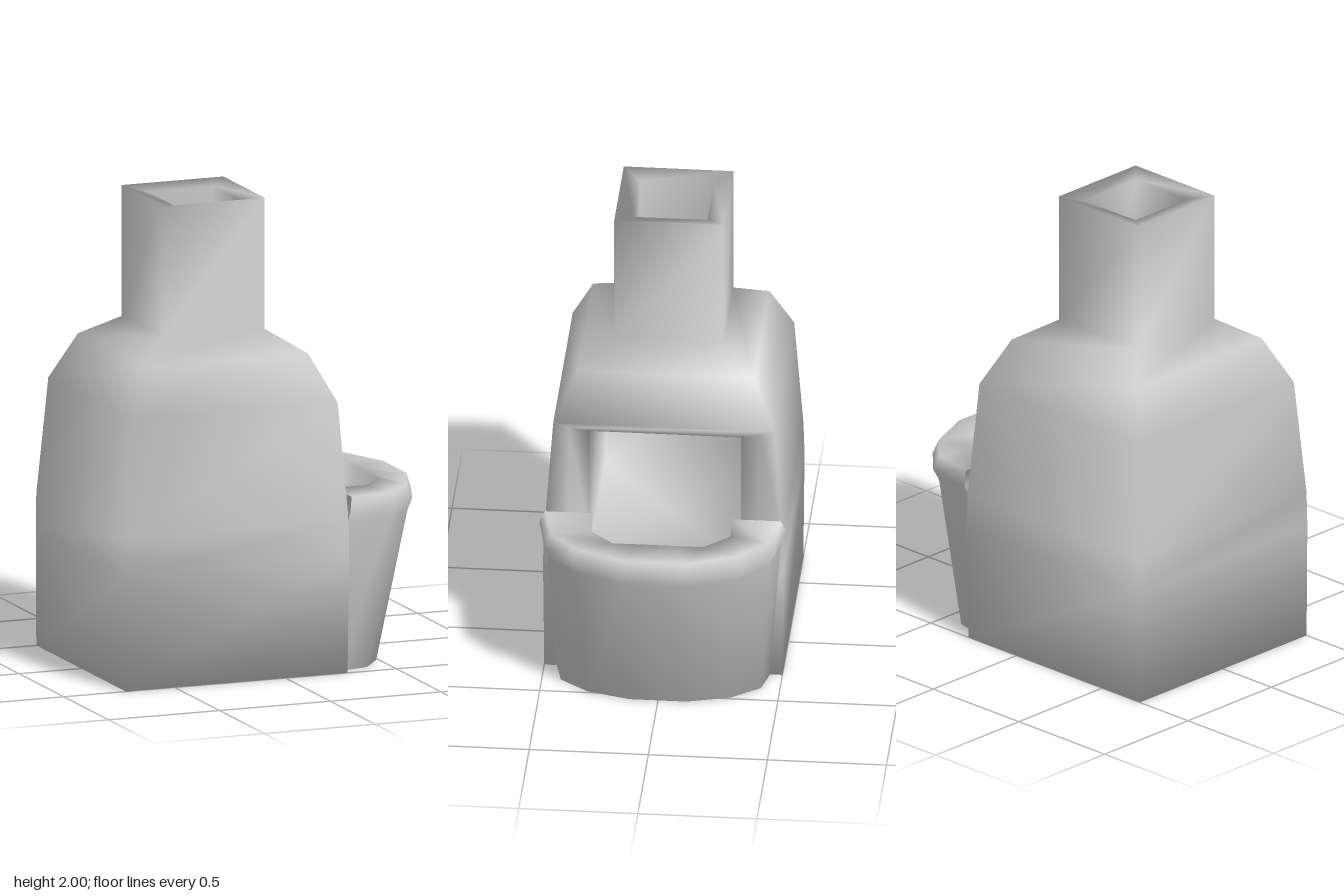
import * as THREE from 'three';
import { mergeGeometries, mergeVertices } from 'three/addons/utils/BufferGeometryUtils.js';

const material = new THREE.MeshStandardMaterial({ color: 0xcccccc, side: THREE.DoubleSide });

// Skin a grid of points: rows[i][j] = [x, y, z]
function skin(rows, closed = false, skip = () => false) {
  const n = rows[0].length, index = [];
  for (let i = 0; i < rows.length - 1; i++) {
    for (let j = 0; j < (closed ? n : n - 1); j++) {
      if (skip(i, j)) continue;
      const k = (j + 1) % n;
      const a = i * n + j, b = i * n + k, c = b + n, d = a + n;
      index.push(a, b, c, a, c, d);
    }
  }
  const g = new THREE.BufferGeometry();
  g.setAttribute('position', new THREE.Float32BufferAttribute(rows.flat(2), 3));
  g.setIndex(index);
  return g;
}

// Weld the pieces and give them smooth normals
function smoothMesh(name, parts) {
  const g = mergeVertices(mergeGeometries(parts), 1e-4);
  g.computeVertexNormals();
  const mesh = new THREE.Mesh(g, material);
  mesh.name = name;
  return mesh;
}

// Four corners of a rectangular section; side 0 faces +x
const section = ([y, x0, x1, z]) => [[x1, y, z], [x1, y, -z], [x0, y, -z], [x0, y, z]];

function ovenBody() {
  // Outside from the base up to the chimney lip, then the inside down to the chamber floor
  const rings = [
    [0, -0.215, -0.215, 0],
    [0, -0.72, 0.28, 0.5],
    [0.5, -0.72, 0.285, 0.505],
    [0.65, -0.72, 0.285, 0.5],
    [1.15, -0.68, 0.25, 0.465],
    [1.35, -0.585, 0.155, 0.37],
    [1.44, -0.445, 0.015, 0.23],
    [2, -0.445, 0.015, 0.23],
    [1.98, -0.36, -0.06, 0.155],
    [1.1, -0.36, -0.06, 0.155],
    [1.1, -0.58, 0.22, 0.32],
    [0.5, -0.58, 0.22, 0.32],
    [0.5, -0.18, -0.18, 0],
  ];
  const openBands = [2, 3, 10];
  const shell = skin(rings.map(section), true, (i, j) => j === 0 && openBands.includes(i));

  // Bevelled frame around the mouth, listed up one jamb and mirrored down the other
  const jambs = [
    [[0.285, 0.5, 0.505], [0.285, 0.65, 0.5], [0.25, 1.15, 0.465]],
    [[0.285, 0.5, 0.4], [0.285, 0.65, 0.4], [0.25, 1.13, 0.4]],
    [[0.22, 0.5, 0.32], [0.22, 0.65, 0.32], [0.22, 1.1, 0.32]],
  ];
  const frame = skin(jambs.map(p => [
    ...p.map(([x, y, z]) => [x, y, -z]),
    ...[...p].reverse(),
  ]));
  return smoothMesh('ovenBody', [shell, frame]);
}

function basin() {
  // Each level is half a plan [x, z], mirrored across z
  const level = (y, half) => [
    ...half.map(([x, z]) => [x, y, z]),
    ...[...half].reverse().map(([x, z]) => [x, y, -z]),
  ];
  const point = (x, y) => level(y, Array(4).fill([x, 0]));
  const rows = [
    point(0.25, 0),
    level(0, [[0.27, 0.45], [0.4, 0.42], [0.49, 0.3], [0.54, 0.12]]),
    level(0.64, [[0.28, 0.495], [0.49, 0.46], [0.615, 0.34], [0.695, 0.13]]),
    level(0.69, [[0.285, 0.52], [0.505, 0.48], [0.63, 0.355], [0.712, 0.135]]),
    level(0.75, [[0.3, 0.495], [0.49, 0.455], [0.61, 0.34], [0.695, 0.13]]),
    level(0.75, [[0.3, 0.295], [0.445, 0.295], [0.545, 0.19], [0.545, 0.08]]),
    level(0.5, [[0.22, 0.32], [0.445, 0.295], [0.54, 0.19], [0.54, 0.08]]),
    point(0.22, 0.5),
  ];
  // Close the two ends of the rim against the body
  const ends = [0, 7].map(col => {
    const edge = rows.slice(2, 7).map(r => r[col]);
    const hub = edge.map(() => [0.28, 0.66, Math.sign(edge[0][2]) * 0.42]);
    return skin(col ? [edge, hub] : [hub, edge]);
  });
  return smoothMesh('basin', [skin(rows), ...ends]);
}

export function createModel() {
  const group = new THREE.Group();
  group.name = 'oven';
  group.add(ovenBody(), basin());
  return group;
}
